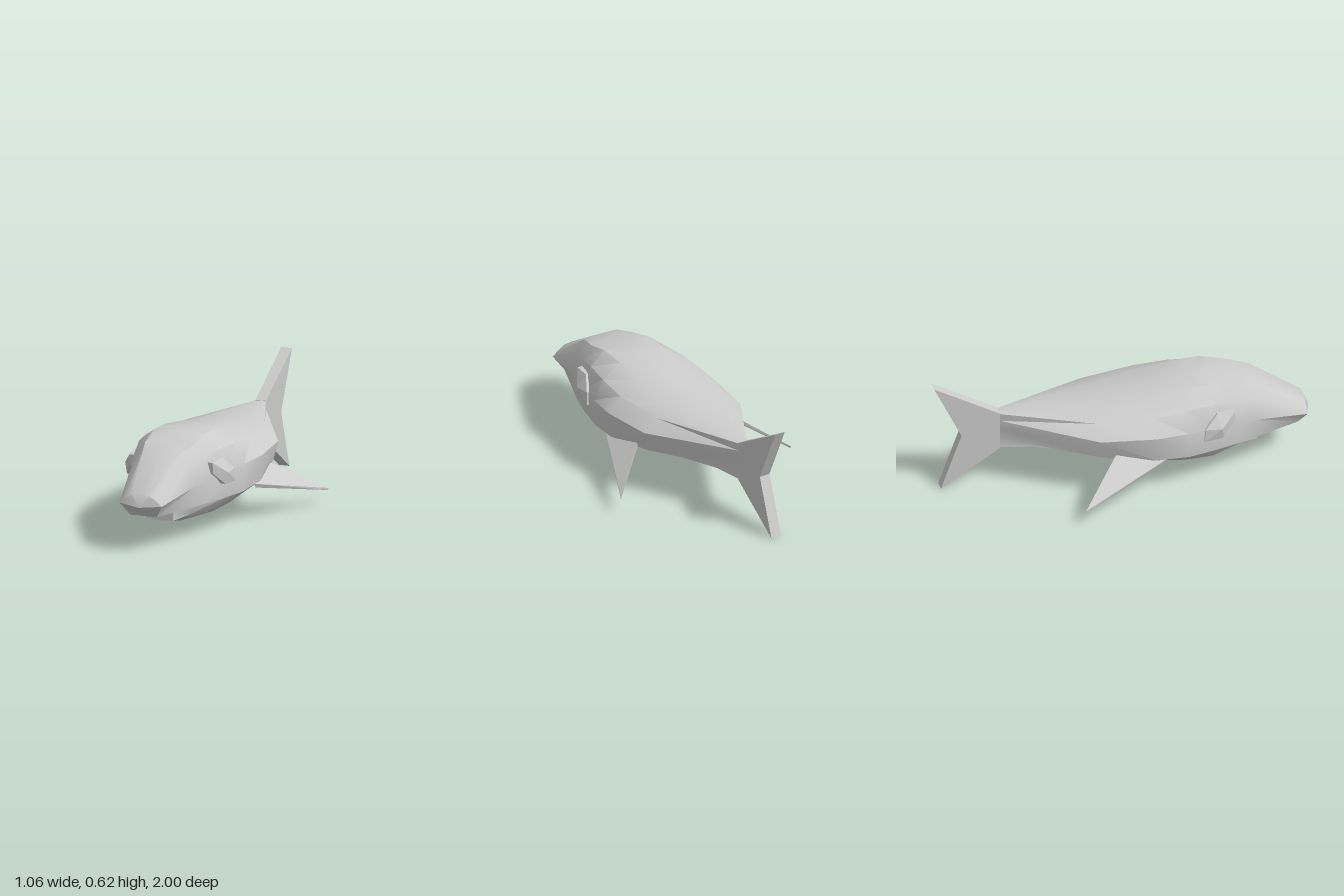
import * as THREE from 'three';
import { toCreasedNormals } from 'three/addons/utils/BufferGeometryUtils.js';
import { ConvexGeometry } from 'three/addons/geometries/ConvexGeometry.js';

const material = new THREE.MeshStandardMaterial({ color: 0xcccccc });
const V = (x, y, z) => new THREE.Vector3(x, y, z);

// Upper half sections, nose to tail: z, then x,y from the back ridge down to the mouth line
const upper = [
  [0.97, 0, 0.305, 0.05, 0.30, 0.09, 0.275, 0.12, 0.25, 0.075, 0.18],
  [0.70, 0, 0.47, 0.10, 0.465, 0.155, 0.40, 0.19, 0.30, 0.17, 0.185],
  [0.60, 0, 0.495, 0.13, 0.485, 0.19, 0.42, 0.22, 0.30, 0.215, 0.19],
  [0.45, 0, 0.53, 0.14, 0.52, 0.225, 0.45, 0.265, 0.33, 0.26, 0.19],
  [0.30, 0, 0.52, 0.14, 0.513, 0.25, 0.445, 0.305, 0.34, 0.295, 0.19],
  [0.12, 0, 0.492, 0.135, 0.485, 0.26, 0.43, 0.333, 0.35, 0.32, 0.21],
  [-0.17, 0, 0.447, 0.11, 0.442, 0.22, 0.415, 0.30, 0.35, 0.27, 0.24],
  [-0.65, 0, 0.425, 0.03, 0.422, 0.03, 0.38, 0.03, 0.33, 0.03, 0.27],
];
// Lower half sections: mouth line down to the belly
const lower = [
  [0.71, 0.075, 0.17, 0.075, 0.14, 0.075, 0.108, 0, 0.105],
  [0.60, 0.15, 0.178, 0.13, 0.125, 0.075, 0.085, 0, 0.082],
  [0.45, 0.26, 0.19, 0.19, 0.11, 0.075, 0.07, 0, 0.065],
  [0.30, 0.295, 0.19, 0.22, 0.125, 0.08, 0.09, 0, 0.085],
  [0.12, 0.32, 0.21, 0.22, 0.145, 0.08, 0.12, 0, 0.116],
  [-0.17, 0.27, 0.24, 0.17, 0.20, 0.07, 0.183, 0, 0.18],
  [-0.65, 0.03, 0.27, 0.03, 0.24, 0.03, 0.215, 0, 0.21],
];

const toRing = ([z, ...xy]) =>
  Array.from({ length: xy.length / 2 }, (_, i) => V(xy[2 * i], xy[2 * i + 1], z));

// Skins a list of half sections and mirrors them across x = 0
function skin(rings, out) {
  const tri = (a, b, c) => {
    if (a.equals(b) || b.equals(c) || c.equals(a)) return;
    for (const p of [a, b, c]) out.push(p.x, p.y, p.z);
    for (const p of [a, c, b]) out.push(-p.x, p.y, p.z);
  };
  for (let i = 0; i + 1 < rings.length; i++) {
    for (let j = 0; j + 1 < rings[i].length; j++) {
      const a = rings[i][j], b = rings[i][j + 1];
      const c = rings[i + 1][j], d = rings[i + 1][j + 1];
      tri(a, b, c);
      tri(b, d, c);
    }
  }
}

function bodyGeometry() {
  const out = [];
  const top = upper.map(toRing), low = lower.map(toRing);
  top[0][4].z = 0.93; // the lip sits behind the snout
  const centre = (p) => V(0, p.y, p.z);
  const palate = top.slice(0, 4).map((r) => [r[4], centre(r[4])]);
  const jawTop = low.slice(0, 3).map((r) => [centre(r[0]), r[0]]);
  // Snout and jaw front close to a single point
  const nose = V(0, 0.24, 1), chin = V(0, 0.14, 0.71);
  skin([Array(5).fill(nose), ...top], out);
  skin([[nose, nose], ...palate], out);
  skin([Array(4).fill(chin), ...low], out);
  skin([[chin, chin], ...jawTop], out);
  const g = new THREE.BufferGeometry();
  g.setAttribute('position', new THREE.Float32BufferAttribute(out, 3));
  return toCreasedNormals(g, 0.62);
}

function tailGeometry() {
  const shape = new THREE.Shape([[-0.65, 0.425], [-1, 0.625], [-0.855, 0.315], [-0.965, 0], [-0.65, 0.21]]
    .map(([z, y]) => new THREE.Vector2(z, y)));
  const g = new THREE.ExtrudeGeometry(shape, { depth: 0.06, bevelEnabled: false });
  return g.translate(0, 0, -0.03).rotateY(-Math.PI / 2);
}

// Thin tapered fin swept back and down
function finGeometry(s) {
  return new ConvexGeometry([
    V(s * 0.31, 0.205, 0.18), V(s * 0.31, 0.18, 0.16),
    V(s * 0.27, 0.268, -0.07), V(s * 0.27, 0.24, -0.07),
    V(s * 0.53, 0.09, -0.30), V(s * 0.527, 0.08, -0.295),
  ]);
}

// Raised six-sided eye plate
function eyeGeometry(s) {
  const rim = [[0.235, 0.40, 0.56], [0.25, 0.405, 0.46], [0.29, 0.34, 0.39],
    [0.293, 0.27, 0.385], [0.278, 0.275, 0.49], [0.235, 0.34, 0.555]];
  const points = rim.flatMap(([x, y, z]) => [V(s * x, y, z), V(s * (x - 0.06), y, z)]);
  return new ConvexGeometry([...points, V(s * 0.292, 0.335, 0.48)]);
}

export function createModel() {
  const group = new THREE.Group();
  group.name = 'fish';
  const add = (name, geometry) => {
    const mesh = new THREE.Mesh(geometry, material);
    mesh.name = name;
    group.add(mesh);
  };
  add('body', bodyGeometry());
  add('tailFin', tailGeometry());
  for (const [side, s] of [['left', 1], ['right', -1]]) {
    add(side + 'Fin', finGeometry(s));
    add(side + 'Eye', eyeGeometry(s));
  }
  return group;
}
